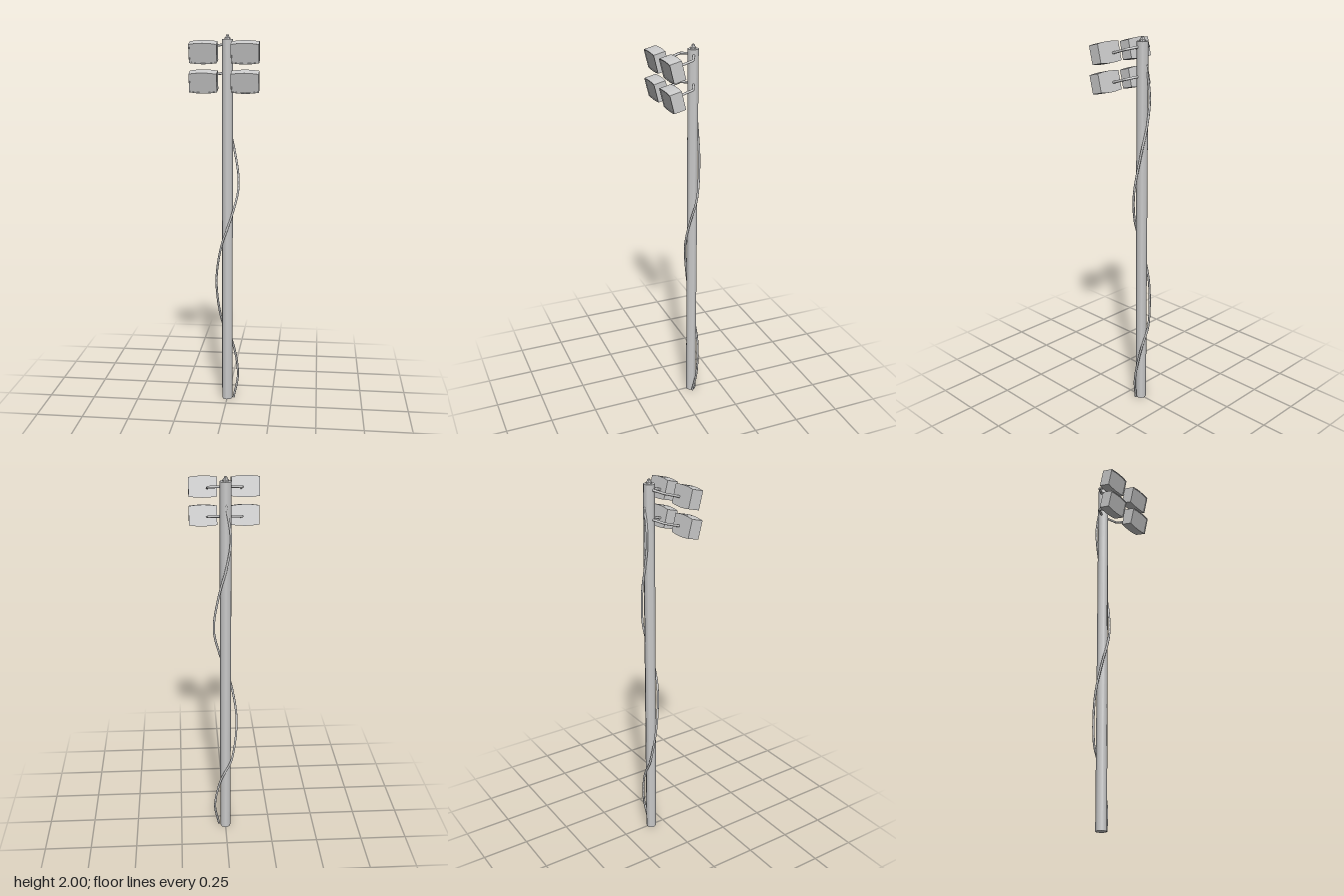
import * as THREE from 'three';

const POLE_Z = -0.079;
const material = new THREE.MeshStandardMaterial({ color: 0xcccccc });
const flatMaterial = new THREE.MeshStandardMaterial({ color: 0xcccccc, flatShading: true });

function part(name, geometry, mat = material) {
  const mesh = new THREE.Mesh(geometry, mat);
  mesh.name = name;
  return mesh;
}

// Rectangle whose top and bottom edges bow outwards
function bowed(PathType, halfWidth, halfHeight, bow) {
  const p = new PathType();
  p.moveTo(-halfWidth, -halfHeight);
  p.quadraticCurveTo(0, -halfHeight - 2 * bow, halfWidth, -halfHeight);
  p.lineTo(halfWidth, halfHeight);
  p.quadraticCurveTo(0, halfHeight + 2 * bow, -halfWidth, halfHeight);
  p.closePath();
  return p;
}

// Floodlight: solid housing with a shallow raised rim around the lens
function floodlight() {
  const lamp = new THREE.Group();
  lamp.name = 'floodlight';
  const extrude = (shape, depth) =>
    new THREE.ExtrudeGeometry(shape, { depth, bevelEnabled: false, curveSegments: 4 });
  const housing = part('lampHousing', extrude(bowed(THREE.Shape, 0.07, 0.047, 0.006), 0.059), flatMaterial);
  housing.position.z = -0.031;
  const rimShape = bowed(THREE.Shape, 0.07, 0.047, 0.006);
  rimShape.holes.push(bowed(THREE.Path, 0.065, 0.042, 0.006));
  const rim = part('lampRim', extrude(rimShape, 0.003), flatMaterial);
  rim.position.z = 0.028;
  lamp.add(housing, rim);
  lamp.rotation.x = THREE.MathUtils.degToRad(14);
  return lamp;
}

// Bent bracket: two straight runs with a sharp elbow
function bracket(side, y) {
  const path = new THREE.CurvePath();
  const start = new THREE.Vector3(0, y, POLE_Z - 0.004);
  const elbow = new THREE.Vector3(side * 0.083, y - 0.012, -0.045);
  const end = new THREE.Vector3(side * 0.083, y - 0.039, 0.045);
  path.add(new THREE.LineCurve3(start, elbow));
  path.add(new THREE.LineCurve3(elbow, end));
  return part('bracket', new THREE.TubeGeometry(path, 30, 0.0065, 6));
}

export function createModel() {
  const model = new THREE.Group();
  model.name = 'floodlightPole';

  // Pole
  const pole = part('pole', new THREE.CylinderGeometry(0.029, 0.029, 1.978, 8));
  pole.position.set(0, 0.989, POLE_Z);
  model.add(pole);

  // Finial on the pole top
  const profile = [[0.015, 1.976], [0.015, 1.986], [0.009, 1.992], [0.007, 2], [0, 2]];
  const finial = part('finial',
    new THREE.LatheGeometry(profile.map(([r, y]) => new THREE.Vector2(r, y)), 8), flatMaterial);
  finial.position.z = POLE_Z;
  model.add(finial);

  // Two rows of paired floodlights on brackets
  for (const y of [1.954, 1.81]) {
    for (const side of [-1, 1]) {
      model.add(bracket(side, y));
      const lamp = floodlight();
      lamp.position.set(side * 0.105, y - 0.038, 0.071);
      model.add(lamp);
    }
  }

  // Loose cable winding down around the pole
  const route = [
    [0, 1.87, -0.103], [-0.025, 1.7, -0.107], [-0.002, 1.55, -0.109], [0.03, 1.43, -0.104],
    [0.06, 1.22, -0.082], [0.03, 1.07, -0.055], [0, 0.98, -0.048], [-0.03, 0.89, -0.052],
    [-0.06, 0.68, -0.079], [-0.03, 0.44, -0.105], [0, 0.38, -0.109], [0.03, 0.31, -0.106],
    [0.059, 0.14, -0.09], [0.036, 0.005, -0.074],
  ].map((p) => new THREE.Vector3(...p));
  const cable = new THREE.TubeGeometry(new THREE.CatmullRomCurve3(route), 64, 0.006, 6);
  const cableMaterial = material.clone();
  cableMaterial.side = THREE.DoubleSide;
  model.add(part('cable', cable, cableMaterial));

  return model;
}
